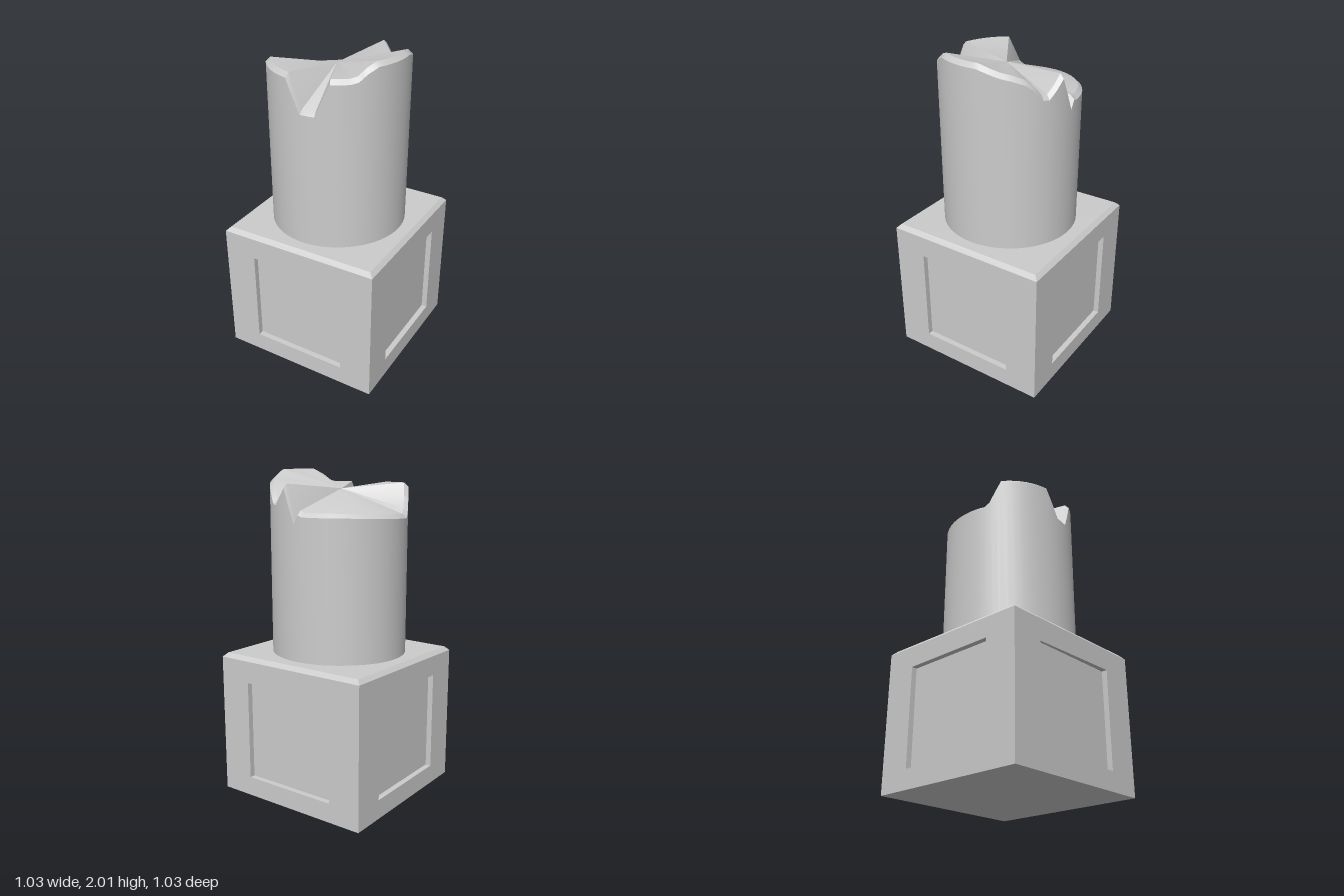
import * as THREE from 'three';
import { toCreasedNormals } from 'three/addons/utils/BufferGeometryUtils.js';

const material = new THREE.MeshStandardMaterial({ color: 0xcccccc });

// Joins successive closed rings of Vector3 with triangles, skipping collapsed ones.
function loft(rings, out = []) {
  const tri = (a, b, c) => {
    if (a.distanceTo(b) < 1e-6 || b.distanceTo(c) < 1e-6 || a.distanceTo(c) < 1e-6) return;
    for (const p of [a, b, c]) out.push(p.x, p.y, p.z);
  };
  for (let r = 0; r + 1 < rings.length; r++) {
    const lo = rings[r], hi = rings[r + 1], n = lo.length;
    for (let i = 0; i < n; i++) {
      const j = (i + 1) % n;
      tri(lo[i], hi[i], hi[j]);
      tri(lo[i], hi[j], lo[j]);
    }
  }
  return out;
}

function makeMesh(name, positions, crease) {
  const geometry = new THREE.BufferGeometry();
  geometry.setAttribute('position', new THREE.Float32BufferAttribute(positions, 3));
  const mesh = new THREE.Mesh(toCreasedNormals(geometry, crease), material);
  mesh.name = name;
  return mesh;
}

// Square pedestal with a bevelled top and a sunken panel on each side.
function makePedestal() {
  const H = 0.515, TOP = 0.87;
  const square = (half, y) => [[1, 1], [-1, 1], [-1, -1], [1, -1]]
    .map(([x, z]) => new THREE.Vector3(x * half, y, z * half));
  const positions = [];
  loft([square(0, 0), square(H, 0)], positions);
  loft([square(H, TOP), square(0.49, 0.895), square(0, 0.895)], positions);

  const frame = (half, y0, y1, z) => [[half, y1], [half, y0], [-half, y0], [-half, y1]]
    .map(([x, y]) => new THREE.Vector3(x, y, z));
  const up = new THREE.Vector3(0, 1, 0);
  for (let k = 0; k < 4; k++) {
    const mid = new THREE.Vector3(0, 0.43, H - 0.035);
    const rings = [
      frame(H, 0, TOP, H),
      frame(0.307, 0.12, 0.735, H),
      frame(0.307, 0.12, 0.735, H - 0.035),
      [mid, mid, mid, mid].map((p) => p.clone()),
    ];
    rings.flat().forEach((p) => p.applyAxisAngle(up, k * Math.PI / 2));
    loft(rings, positions);
  }
  // One worn front corner sags slightly.
  for (let i = 0; i < positions.length; i += 3) {
    if (positions[i] < -0.1 && positions[i + 1] > 0.7 && positions[i + 2] > 0.485) positions[i + 1] -= 0.014;
  }
  return makeMesh('pedestal', positions, 0.3);
}

// Round shaft whose broken top follows a rim height given by angle (degrees, height).
const RIM = [
  [0, 1.98], [29, 1.98], [38, 1.95], [45, 1.91], [51, 1.9], [66, 1.9],
  [78, 1.71], [90, 1.71], [103, 1.9], [145, 1.9], [155, 1.75], [160, 1.72],
  [180, 1.725], [225, 1.737], [264, 1.74], [268, 1.75], [272, 1.7], [283, 1.9],
  [289, 1.85], [296, 1.8], [301, 1.805], [308, 1.86], [315, 1.9], [325, 1.925],
  [334, 1.94], [345, 1.965], [352, 1.98], [360, 1.98],
];

function makeColumn() {
  const stations = [];
  for (let i = 0; i + 1 < RIM.length; i++) {
    const [a0, h0] = RIM[i], [a1, h1] = RIM[i + 1];
    const steps = Math.ceil((a1 - a0) / 6);
    for (let s = 0; s < steps; s++) {
      const t = s / steps;
      stations.push([THREE.MathUtils.degToRad(a0 + (a1 - a0) * t), h0 + (h1 - h0) * t]);
    }
  }
  const ring = (radius, height) => stations.map(([a, h]) =>
    new THREE.Vector3(Math.cos(a) * radius, height(h), 0.005 + Math.sin(a) * radius));
  const apex = new THREE.Vector3(0, 1.89, 0.03);
  const positions = loft([
    ring(0.417, () => 0.88),
    ring(0.417, (h) => h),
    ring(0.391, (h) => h + 0.025),
    stations.map(() => apex),
  ]);
  return makeMesh('brokenColumn', positions, 0.4);
}

export function createModel() {
  const model = new THREE.Group();
  model.name = 'brokenColumnOnPedestal';
  model.add(makePedestal(), makeColumn());
  return model;
}
